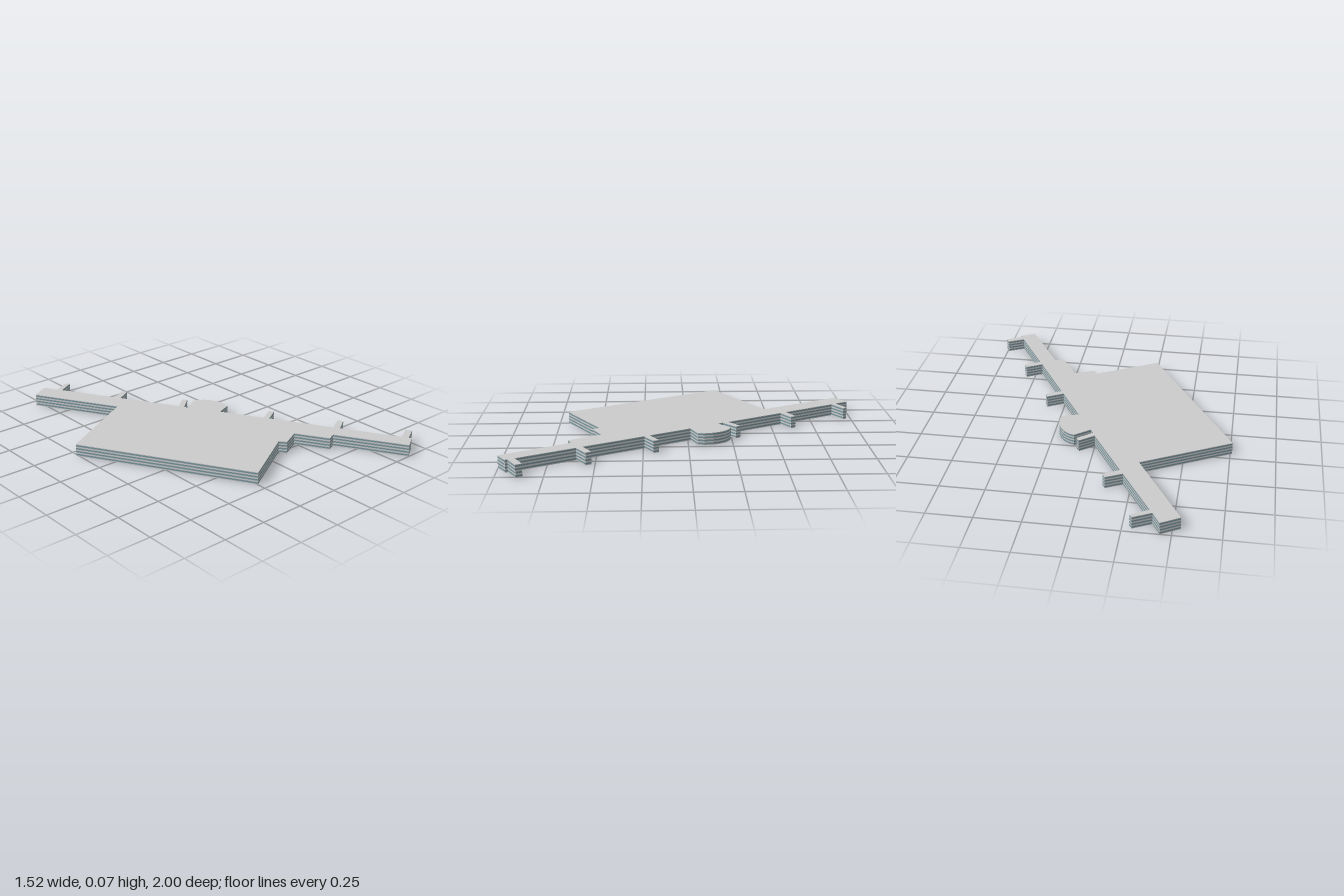
import * as THREE from 'three';

const HEIGHT = 0.07;

// Floor plan as [x, z], running clockwise seen from above
const PLAN = [
  [-0.54, -0.94], [-0.44, -1],
  [-0.397, -0.921], [-0.30, -0.973], [-0.286, -0.952], [-0.381, -0.897], // pier 1
  [-0.206, -0.593], [-0.116, -0.64], [-0.10, -0.612], [-0.187, -0.561], // pier 2
  [0, -0.235], [0.08, -0.30], [0.096, -0.275], [0.013, -0.205], // pier 3
  [0.032, -0.175], [0.116, -0.243], [0.15, -0.229], [0.18, -0.206], // rounded hall
  [0.203, -0.173], [0.218, -0.138], [0.226, -0.09], [0.217, -0.05], [0.127, -0.016],
  [0.259, 0.216], [0.349, 0.164], [0.362, 0.193], [0.275, 0.243], // pier 4
  [0.46, 0.571], [0.55, 0.519], [0.566, 0.549], [0.479, 0.603], // pier 5
  [0.651, 0.905], [0.741, 0.857], [0.76, 0.889], [0.667, 0.94], // pier 6
  [0.677, 0.952], [0.598, 1],
  [0.388, 0.635], [0.339, 0.656], [0.238, 0.481], [0.127, 0.534], // stepped corner
  [0.10, 0.497], [-0.249, 0.698], [-0.76, -0.2], [-0.275, -0.471], // main block
];

// Upright band around the plan from y0 to y1, pushed outward by offset
function wallBand(y0, y1, offset = 0) {
  const positions = [];
  PLAN.forEach(([px, pz], i) => {
    const [qx, qz] = PLAN[(i + 1) % PLAN.length];
    const length = Math.hypot(qx - px, qz - pz);
    const ox = ((qz - pz) / length) * offset;
    const oz = (-(qx - px) / length) * offset;
    const a = [px + ox, y0, pz + oz], b = [px + ox, y1, pz + oz];
    const c = [qx + ox, y1, qz + oz], d = [qx + ox, y0, qz + oz];
    positions.push(...a, ...b, ...c, ...a, ...c, ...d);
  });
  const geometry = new THREE.BufferGeometry();
  geometry.setAttribute('position', new THREE.Float32BufferAttribute(positions, 3));
  geometry.computeVertexNormals();
  return geometry;
}

export function createModel() {
  const group = new THREE.Group();
  group.name = 'terminalBuilding';
  const grey = new THREE.MeshStandardMaterial({ color: 0xcccccc, side: THREE.DoubleSide });
  const glass = new THREE.MeshStandardMaterial({ color: 0x7896a0 });

  const add = (name, geometry, material) => {
    const mesh = new THREE.Mesh(geometry, material);
    mesh.name = name;
    group.add(mesh);
  };

  // Flat roof over the whole plan; the shell is open underneath
  const shape = new THREE.Shape(PLAN.map(([x, z]) => new THREE.Vector2(x, -z)));
  const roof = new THREE.ShapeGeometry(shape);
  roof.rotateX(-Math.PI / 2);
  roof.translate(0, HEIGHT, 0);
  add('roof', roof, grey);

  add('outerWalls', wallBand(0, HEIGHT), grey);

  // Window strips, one per storey
  const storeys = 4;
  const storey = HEIGHT / storeys;
  for (let i = 0; i < storeys; i++) {
    const y = i * storey;
    add(`windowBand${i + 1}`, wallBand(y + storey * 0.3, y + storey * 0.8, 0.001), glass);
  }
  return group;
}
